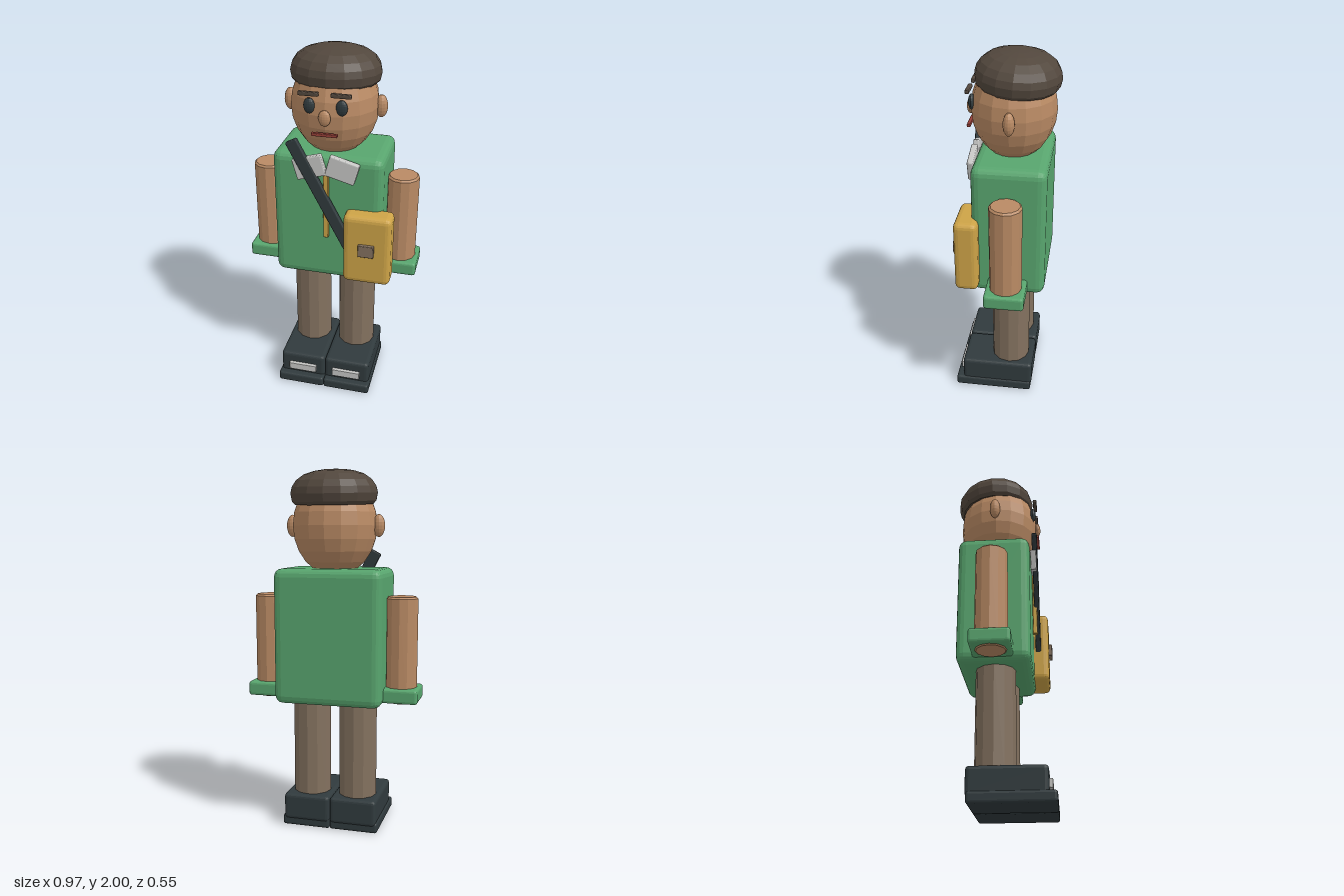
import * as THREE from 'three';
import { RoundedBoxGeometry } from 'three/addons/geometries/RoundedBoxGeometry.js';

const paint = (name, color) => new THREE.MeshStandardMaterial({ name, color, flatShading: true });

export function createModel() {
  const model = new THREE.Group();
  model.name = 'schoolboy';

  const skin = paint('skin', 0xb98a64);
  const green = paint('shirtGreen', 0x58a56e);
  const brown = paint('trouserBrown', 0x83715f);
  const capBrown = paint('capBrown', 0x52473d);
  const dark = paint('darkSlate', 0x303a3d);
  const pale = paint('paleGrey', 0xc6c6c4);
  const ochre = paint('ochre', 0xcda347);
  const red = paint('mouthRed', 0x984038);

  const add = (name, geometry, material, x, y, z, rz = 0) => {
    const mesh = new THREE.Mesh(geometry, material);
    mesh.name = name;
    mesh.position.set(x, y, z);
    mesh.rotation.z = rz;
    model.add(mesh);
    return mesh;
  };
  const box = (w, h, d, r) => new RoundedBoxGeometry(w, h, d, 2, r);
  const ball = (rx, ry, rz, seg = 14, rows = 10) =>
    new THREE.SphereGeometry(1, seg, rows).scale(rx, ry, rz);
  // Upright cylinder with a small bevel at both ends
  const post = (r, h, bevel, sides) => new THREE.LatheGeometry([
    [0, -h / 2], [r - bevel, -h / 2], [r, -h / 2 + bevel],
    [r, h / 2 - bevel], [r - bevel, h / 2], [0, h / 2],
  ].map(([x, y]) => new THREE.Vector2(x, y)), sides);

  // Torso and head
  add('torso', box(0.6, 0.745, 0.395, 0.045), green, 0, 1.098, -0.037);
  add('head', ball(0.234, 0.275, 0.226, 16, 12), skin, 0, 1.7, -0.031);

  // Soft round cap, tilted back a little
  const capProfile = [[0, -0.06], [0.215, -0.06], [0.232, -0.042], [0.24, 0], [0.232, 0.035],
    [0.208, 0.07], [0.165, 0.1], [0.11, 0.117], [0.055, 0.125], [0, 0.127]];
  const cap = add('cap', new THREE.LatheGeometry(
    capProfile.map(([x, y]) => new THREE.Vector2(x, y)), 16), capBrown, 0, 1.873, -0.052);
  cap.scale.z = 0.94;
  cap.rotation.x = -0.06;

  // Face
  add('nose', ball(0.032, 0.042, 0.02), skin, 0, 1.695, 0.198);
  add('mouth', box(0.136, 0.017, 0.02, 0.004), red, 0, 1.608, 0.2);

  for (const side of [-1, 1]) {
    const tag = side > 0 ? 'left' : 'right';
    add(tag + 'Ear', ball(0.034, 0.061, 0.03), skin, side * 0.244, 1.699, -0.035);
    add(tag + 'Eye', ball(0.03, 0.041, 0.018), dark, side * 0.084, 1.748, 0.177);
    add(tag + 'Eyebrow', box(0.105, 0.022, 0.022, 0.006), capBrown, side * 0.084, 1.815, 0.191);

    // Arm and cuff
    add(tag + 'Arm', post(0.087, 0.582, 0.01, 12), skin, side * 0.379, 1.03, -0.037);
    add(tag + 'Cuff', box(0.208, 0.08, 0.215, 0.016), green, side * 0.38, 0.785, -0.037);

    // Leg, shoe and sole
    add(tag + 'Leg', post(0.108, 0.6, 0.01, 12), brown, side * 0.134, 0.46, -0.035);
    add(tag + 'Shoe', box(0.265, 0.15, 0.41, 0.02), dark, side * 0.134, 0.112, 0.032);
    add(tag + 'Sole', box(0.275, 0.06, 0.445, 0.014), dark, side * 0.138, 0.03, 0.055);
    add(tag + 'ShoeStrip', box(0.165, 0.047, 0.025, 0.004), pale, side * 0.132, 0.104, 0.243);

    // Collar wing, drooping outwards
    add(tag + 'CollarWing', box(0.163, 0.118, 0.034, 0.008), pale,
      side * 0.088, 1.413, 0.178, -side * 0.27);
  }

  // Tie cord
  add('tieCord', box(0.028, 0.4, 0.026, 0.005), ochre, 0, 1.2, 0.175);

  // Satchel with its diagonal strap
  add('satchelStrap', box(0.066, 0.69, 0.03, 0.008), dark, -0.022, 1.25, 0.186, 0.485);
  add('satchel', box(0.26, 0.41, 0.127, 0.03), ochre, 0.236, 0.975, 0.181);
  add('satchelClasp', box(0.086, 0.07, 0.03, 0.005), brown, 0.236, 0.986, 0.249);

  return model;
}
